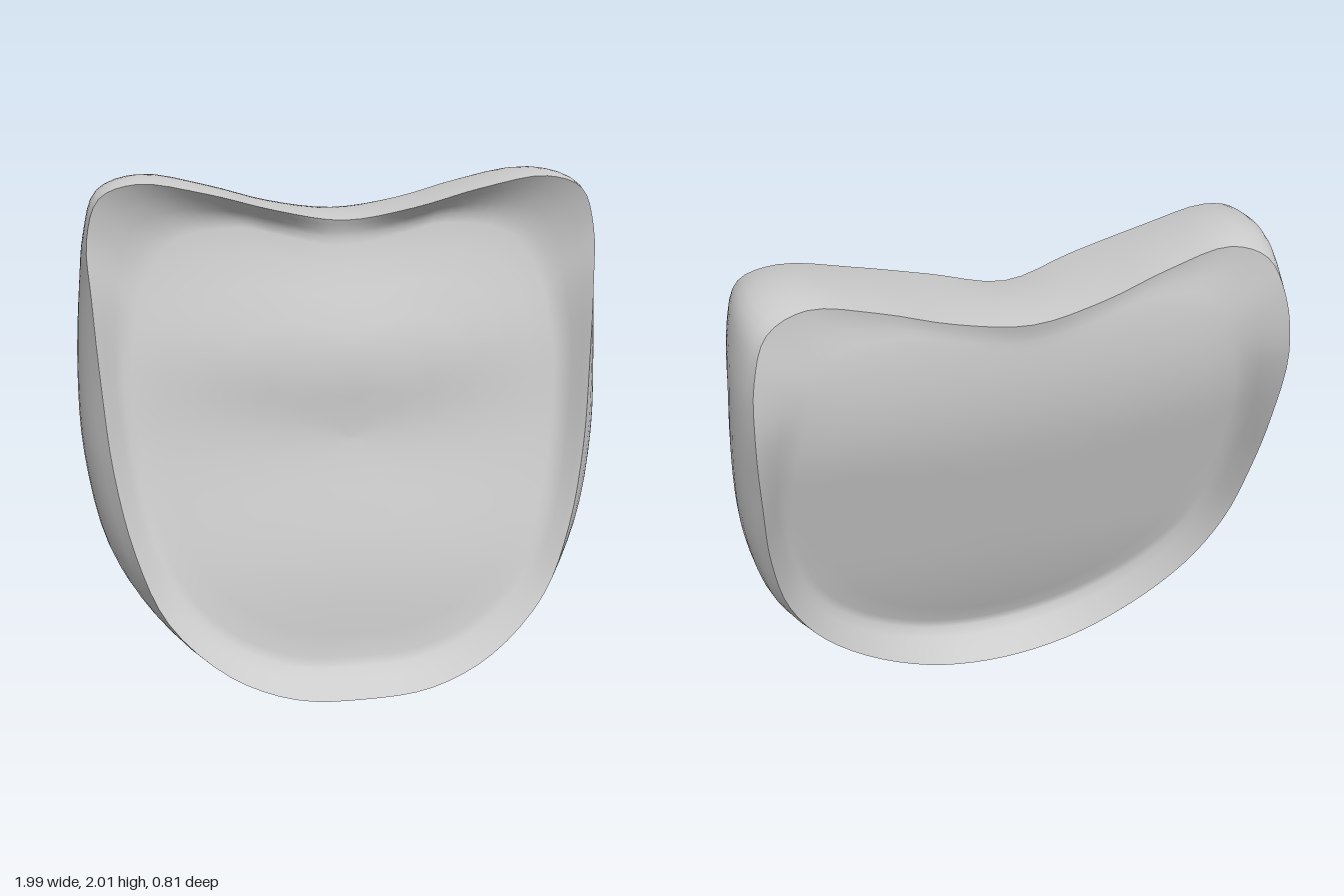
import * as THREE from 'three';

const N = 104; // samples around the outline
const CENTER_Y = 1.05;

// Half outlines (x, y, z) from bottom centre, up the left side, to the top notch
const FRONT_LIP = [
  [0, .12, .40], [.26, .135, .385], [.5, .235, .35], [.71, .44, .295], [.815, .7, .245], [.875, 1, .185], [.9, 1.3, .13],
  [.915, 1.6, .08], [.92, 1.8, .03], [.87, 1.94, .02], [.74, 1.985, .005], [.5, 1.945, -.01], [.25, 1.88, -.01], [0, 1.835, -.05],
];
const MIDDLE = [
  [0, 0, .11], [.27, .042, .105], [.54, .187, .09], [.78, .42, .05], [.915, .65, 0], [.985, 1, -.07], [.99, 1.3, -.13],
  [.965, 1.6, -.165], [.935, 1.8, -.17], [.88, 1.95, -.16], [.74, 2, -.15], [.5, 1.955, -.16], [.25, 1.885, -.18], [0, 1.85, -.2],
];
const BACK_LIP = [
  [0, .03, -.07], [.27, .075, -.08], [.53, .22, -.11], [.75, .45, -.16], [.87, .7, -.21], [.915, 1, -.28], [.92, 1.3, -.36],
  [.915, 1.6, -.41], [.89, 1.8, -.375], [.83, 1.93, -.325], [.7, 1.98, -.3], [.48, 1.94, -.315], [.25, 1.875, -.34], [0, 1.84, -.36],
];

// Mirror a half outline and sample it as a smooth closed ring
function ring(half) {
  const pts = half.map((p) => new THREE.Vector3(...p));
  const mirrored = pts.slice(1, -1).reverse().map((p) => new THREE.Vector3(-p.x, p.y, p.z));
  const curve = new THREE.CatmullRomCurve3([...pts, ...mirrored], true, 'centripetal');
  return Array.from({ length: N }, (_, i) => curve.getPoint(i / N));
}

// Skin a list of rings
function skin(name, rings) {
  const pos = rings.flatMap((r) => r.flatMap((p) => [p.x, p.y, p.z]));
  const index = [];
  for (let j = 0; j < rings.length - 1; j++) {
    for (let i = 0; i < N; i++) {
      const k = (i + 1) % N;
      const a = j * N + i, b = a + N, c = (j + 1) * N + k, d = j * N + k;
      index.push(a, b, c, a, c, d);
    }
  }
  const geo = new THREE.BufferGeometry();
  geo.setAttribute('position', new THREE.Float32BufferAttribute(pos, 3));
  geo.setIndex(index);
  geo.computeVertexNormals();
  const mesh = new THREE.Mesh(geo, new THREE.MeshStandardMaterial({ color: 0xcccccc, side: THREE.DoubleSide }));
  mesh.name = name;
  return mesh;
}

// Shallow dish: [scale, share of the drop from lip to floor]
const DISH = [[1, 0], [.975, .25], [.945, .62], [.915, .88], [.88, 1], [.78, 1], [.65, 1], [.5, 1], [.35, 1], [.2, 1], [.08, 1], [0, 1]];

function dish(lip, floor) {
  return DISH.map(([s, drop]) => lip.map((p) => {
    // the floor is rounder than the lip, so pull it in at the upper corners
    const r = Math.hypot(p.x, p.y - CENTER_Y);
    const k = s * (1 - .42 * drop * Math.max(0, r - .95));
    const x = p.x * k, y = CENTER_Y + (p.y - CENTER_Y) * k;
    return new THREE.Vector3(x, y, THREE.MathUtils.lerp(p.z, floor(x, y), drop));
  }));
}

// A soft swelling of height h around (0, cy)
const swell = (x, y, h, cy, rx, ry) => h * Math.exp(-((x / rx) ** 2) - ((y - cy) / ry) ** 2);

// Front floor: tilted, with a ridge above the middle and a swelling low down
const frontFloor = (x, y) => .3 - .21 * y + swell(x, y, .075, 1.38, .6, .22) + swell(x, y, .05, .58, .75, .33);
// Back floor: tilted, slightly domed, curling inward low down and levelling off at the top
const backFloor = (x, y) => .05 - .275 * y + .4 * Math.max(0, y - 1.3) ** 2 + .15 * Math.max(0, .75 - y) ** 2 + .06 * x * x;

export function createModel() {
  const group = new THREE.Group();
  group.name = 'dishedShield';
  const front = ring(FRONT_LIP), middle = ring(MIDDLE), back = ring(BACK_LIP);

  // Bulging side wall: a parabola through front lip, middle and back lip
  const STEPS = 10;
  const wall = Array.from({ length: STEPS + 1 }, (_, j) => {
    const u = j / STEPS;
    return front.map((f, i) => new THREE.Vector3()
      .addScaledVector(f, (1 - u) * (1 - 2 * u))
      .addScaledVector(middle[i], 4 * u * (1 - u))
      .addScaledVector(back[i], u * (2 * u - 1)));
  });

  group.add(
    skin('sideWall', wall),
    skin('frontDish', dish(front, frontFloor).reverse()),
    skin('backDish', dish(back, backFloor)),
  );
  return group;
}
